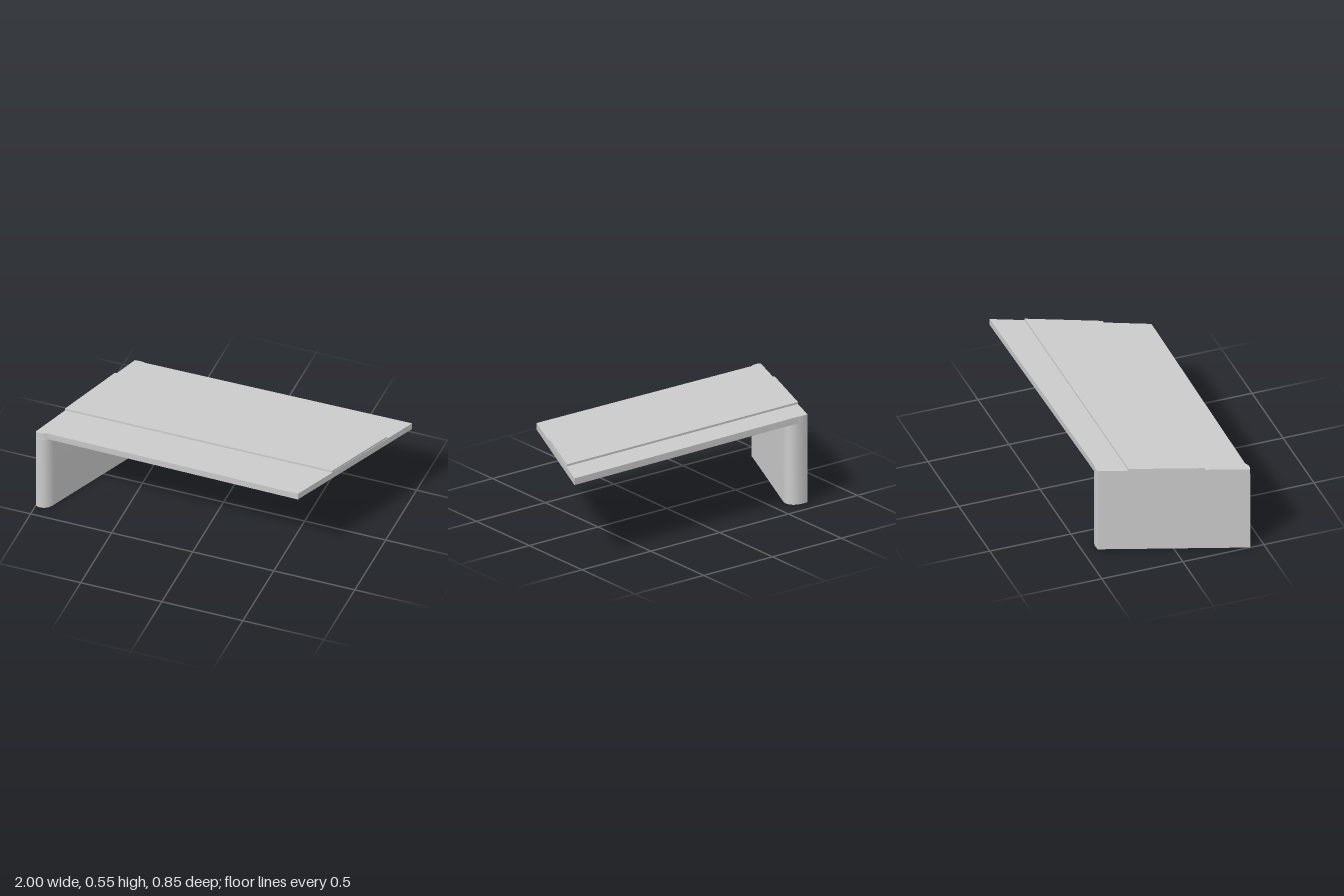
import * as THREE from 'three';
import { toCreasedNormals } from 'three/addons/utils/BufferGeometryUtils.js';

const material = new THREE.MeshStandardMaterial({ color: 0xcccccc });

// Extrude a plan outline (drawn in x, -z) upwards from y0 to y1.
function prism(name, shape, y0, y1) {
  const extruded = new THREE.ExtrudeGeometry(shape, { depth: y1 - y0, bevelEnabled: false, curveSegments: 12 });
  extruded.rotateX(-Math.PI / 2);
  extruded.translate(0, y0, 0);
  const mesh = new THREE.Mesh(toCreasedNormals(extruded, Math.PI / 6), material);
  mesh.name = name;
  return mesh;
}

export function createModel() {
  const model = new THREE.Group();
  model.name = 'slabOnSupport';

  // Slanted support wall: flat outside, rounded towards the inside at both ends
  const wall = new THREE.Shape();
  wall.moveTo(-1, -0.415);
  wall.bezierCurveTo(-0.97, -0.434, -0.92, -0.425, -0.9, -0.36);
  wall.lineTo(-0.6, 0.32);
  wall.bezierCurveTo(-0.575, 0.385, -0.62, 0.425, -0.705, 0.412);
  wall.closePath();
  model.add(prism('supportWall', wall, 0, 0.5));

  // Sheared slab, following the wall's rounded ends where it rests on it
  const slab = new THREE.Shape();
  slab.moveTo(-1, -0.415);
  slab.quadraticCurveTo(-0.965, -0.43, -0.93, -0.41);
  slab.lineTo(0.62, -0.425);
  slab.lineTo(1, 0.428);
  slab.lineTo(-0.64, 0.41);
  slab.quadraticCurveTo(-0.67, 0.419, -0.705, 0.412);
  slab.closePath();
  model.add(prism('slab', slab, 0.5, 0.541));

  // Raised strip along the middle of the slab
  const strip = new THREE.Shape([[-0.914, -0.17], [0.733, -0.167], [0.915, 0.245], [-0.765, 0.245]]
    .map(([x, y]) => new THREE.Vector2(x, y)));
  model.add(prism('raisedStrip', strip, 0.541, 0.553));

  return model;
}
